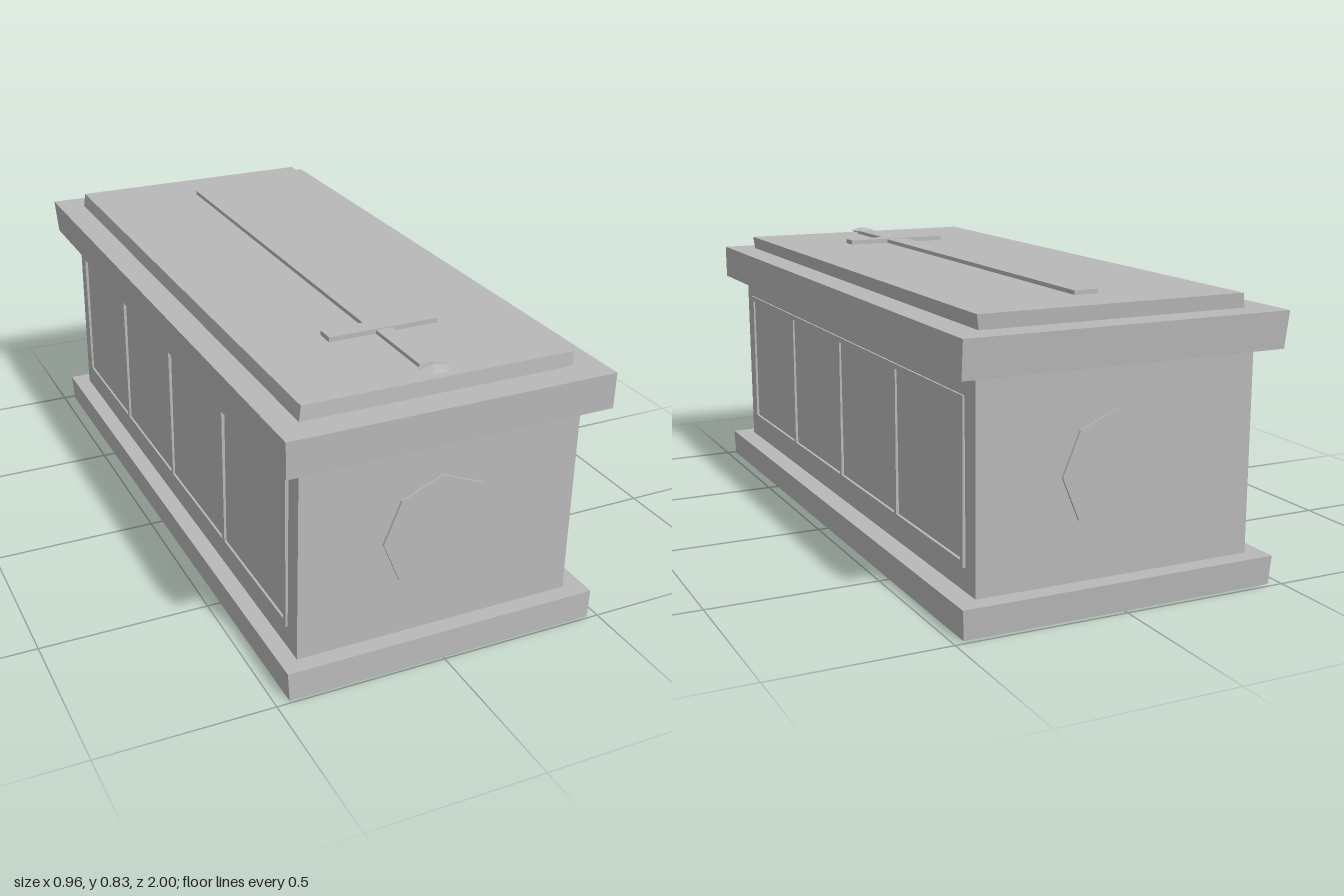
import * as THREE from 'three';

export function createModel() {
  const model = new THREE.Group();
  model.name = 'tomb';
  const stone = new THREE.MeshStandardMaterial({ color: 0xb8b8b8 });
  stone.name = 'grey stone';

  const add = (name, geometry, parent = model) => {
    const mesh = new THREE.Mesh(geometry, stone);
    mesh.name = name;
    parent.add(mesh);
    return mesh;
  };

  // Roughly hewn block: each end is [left edge at back, left edge at front, right edge, back z, front z]
  const block = (name, y0, y1, bottom, top) => {
    const g = new THREE.BoxGeometry(1, 1, 1);
    const p = g.attributes.position;
    for (let i = 0; i < p.count; i++) {
      const [xBack, xFront, xRight, zBack, zFront] = p.getY(i) > 0 ? top : bottom;
      const front = p.getZ(i) > 0;
      const x = p.getX(i) > 0 ? xRight : front ? xFront : xBack;
      p.setXYZ(i, x, p.getY(i) > 0 ? y1 : y0, front ? zFront : zBack);
    }
    g.computeVertexNormals();
    return add(name, g);
  };

  // Axis-aligned box given by its limits
  const box = (name, x0, x1, y0, y1, z0, z1, parent) => {
    const g = new THREE.BoxGeometry(x1 - x0, y1 - y0, z1 - z0);
    g.translate((x0 + x1) / 2, (y0 + y1) / 2, (z0 + z1) / 2);
    return add(name, g, parent);
  };

  // Stacked main blocks
  block('plinth', 0, 0.084, [-0.464, -0.46, 0.47, -0.985, 0.992], [-0.468, -0.464, 0.475, -0.992, 0.99]);
  block('chest', 0.084, 0.665, [-0.416, -0.416, 0.414, -0.938, 0.94], [-0.412, -0.412, 0.418, -0.942, 0.94]);
  block('slab', 0.665, 0.77, [-0.474, -0.471, 0.479, -0.992, 0.997], [-0.482, -0.473, 0.479, -1, 1]);
  block('lid', 0.77, 0.811, [-0.399, -0.4, 0.395, -0.913, 0.915], [-0.391, -0.393, 0.402, -0.917, 0.911]);

  // Raised panel frames with dividers on both long sides
  for (const side of [1, -1]) {
    const frame = new THREE.Group();
    frame.name = side > 0 ? 'leftPanelFrame' : 'rightPanelFrame';
    model.add(frame);
    const [x0, x1] = side > 0 ? [0.4, 0.423] : [-0.422, -0.4];
    box('topRail', x0, x1, 0.587, 0.602, -0.88, 0.88, frame);
    box('bottomRail', x0, x1, 0.15, 0.168, -0.88, 0.88, frame);
    for (let i = -2; i <= 2; i++) {
      const z = i * 0.436;
      box('upright', x0, x1, 0.168, 0.587, z - 0.008, z + 0.008, frame);
    }
  }

  // Raised octagonal rings on both ends
  const octagon = (r) => Array.from({ length: 8 }, (_, i) =>
    new THREE.Vector2(Math.sin(i * Math.PI / 4) * r, Math.cos(i * Math.PI / 4) * r));
  const ring = new THREE.Shape(octagon(0.171));
  ring.holes.push(new THREE.Path(octagon(0.156)));
  for (const side of [1, -1]) {
    const g = new THREE.ExtrudeGeometry(ring, { depth: 0.02, bevelEnabled: false });
    g.translate(0, 0, 0.927);
    const mesh = add(side > 0 ? 'frontRing' : 'backRing', g);
    mesh.position.y = 0.375;
    if (side < 0) mesh.rotation.y = Math.PI;
  }

  // Sword lying on the lid
  const sword = new THREE.Group();
  sword.name = 'sword';
  model.add(sword);
  box('blade', -0.036, 0.036, 0.8, 0.823, -0.755, 0.54, sword);
  box('crossguard', -0.166, 0.166, 0.8, 0.825, 0.54, 0.595, sword);
  box('grip', -0.025, 0.025, 0.8, 0.822, 0.595, 0.85, sword);

  // Faceted pommel, flattened to a diamond section
  const pommel = new THREE.SphereGeometry(0.045, 6, 2).toNonIndexed();
  pommel.scale(1, 0.25, 0.95);
  pommel.computeVertexNormals();
  add('pommel', pommel, sword).position.set(0, 0.82, 0.868);

  return model;
}
